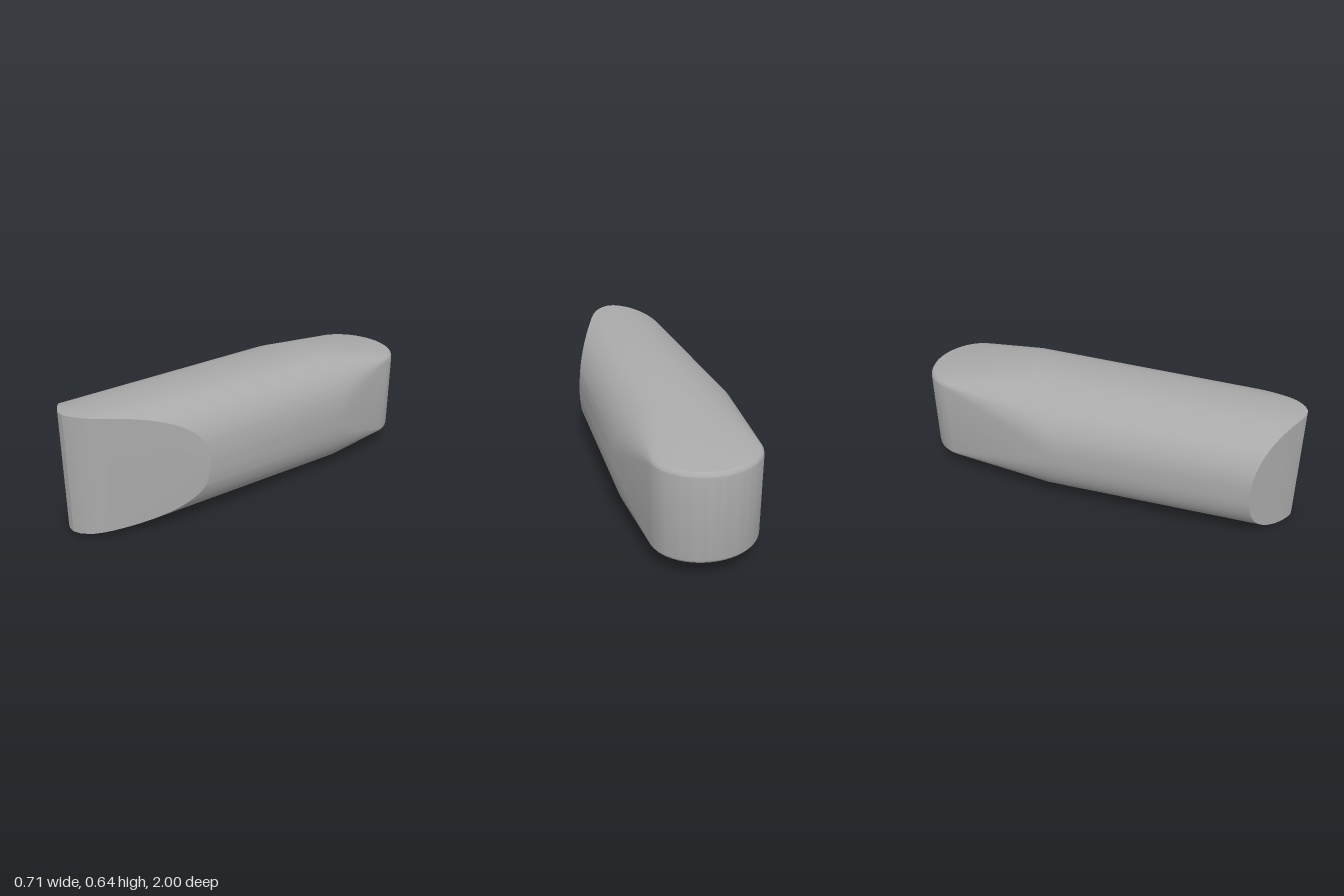
import * as THREE from 'three';
import { ConvexGeometry } from 'three/addons/geometries/ConvexGeometry.js';
import { toCreasedNormals } from 'three/addons/utils/BufferGeometryUtils.js';

const SEGMENTS = 96;

// Piecewise-linear lookup of z along x
function lookup(table, x) {
  if (x <= table[0][0]) return table[0][1];
  for (let i = 1; i < table.length; i++) {
    const [x0, z0] = table[i - 1], [x1, z1] = table[i];
    if (x <= x1) return z0 + (z1 - z0) * (x - x0) / (x1 - x0);
  }
  return table[table.length - 1][1];
}

// Rounded-oval rim whose depth follows a plan profile
function ovalRim(halfW, halfH, cy, lean, power, profile) {
  const points = [];
  const bend = (v) => Math.sign(v) * Math.pow(Math.abs(v), 2 / power);
  for (let i = 0; i < SEGMENTS; i++) {
    const a = (i / SEGMENTS) * Math.PI * 2;
    const u = bend(Math.cos(a)), v = bend(Math.sin(a));
    const x = halfW * u + lean * (1 - u * u);
    points.push(new THREE.Vector3(x, cy + halfH * v, lookup(profile, x)));
  }
  return points;
}

// Half-round upright end with softened top and bottom edges
function roundedEnd() {
  const points = [];
  const steps = 32, r = 0.03;
  for (let k = 0; k <= 4; k++) {
    const b = (k / 4) * Math.PI / 2;
    const inset = r * (1 - Math.cos(b)), rise = r * Math.sin(b);
    for (let i = 0; i <= steps; i++) {
      const a = (i / steps) * Math.PI;
      const x = 0.035 + (0.258 - inset) * Math.cos(a);
      const z = -0.78 - (0.22 - inset) * Math.sin(a);
      points.push(new THREE.Vector3(x, 0.525 + rise, z));
      points.push(new THREE.Vector3(x, 0.13 - rise, z));
    }
  }
  return points;
}

export function createModel() {
  const group = new THREE.Group();
  group.name = 'roundedBlock';
  const grey = new THREE.MeshStandardMaterial({ color: 0xaaaaaa });
  grey.name = 'grey';

  // Nose: slanted left face, rounded tip, long flat right face
  const nose = [[-0.335, 0.815], [-0.22, 0.888], [-0.127, 0.944], [-0.06, 0.98], [-0.03, 0.993],
    [0, 1], [0.03, 0.994], [0.06, 0.977], [0.09, 0.95], [0.115, 0.922], [0.138, 0.882], [0.328, 0.425]];
  // Shoulder where the body starts tapering to the back
  const shoulder = [[-0.354, -0.165], [-0.2, -0.28], [0, -0.395], [0.12, -0.41], [0.27, -0.47], [0.353, -0.41]];

  const points = [
    ...ovalRim(0.332, 0.3, 0.325, 0.02, 2.45, nose),
    ...ovalRim(0.354, 0.32, 0.322, 0.04, 2.4, shoulder),
    ...roundedEnd(),
  ];
  const body = new THREE.Mesh(toCreasedNormals(new ConvexGeometry(points), 0.3), grey);
  body.name = 'body';
  group.add(body);
  return group;
}
